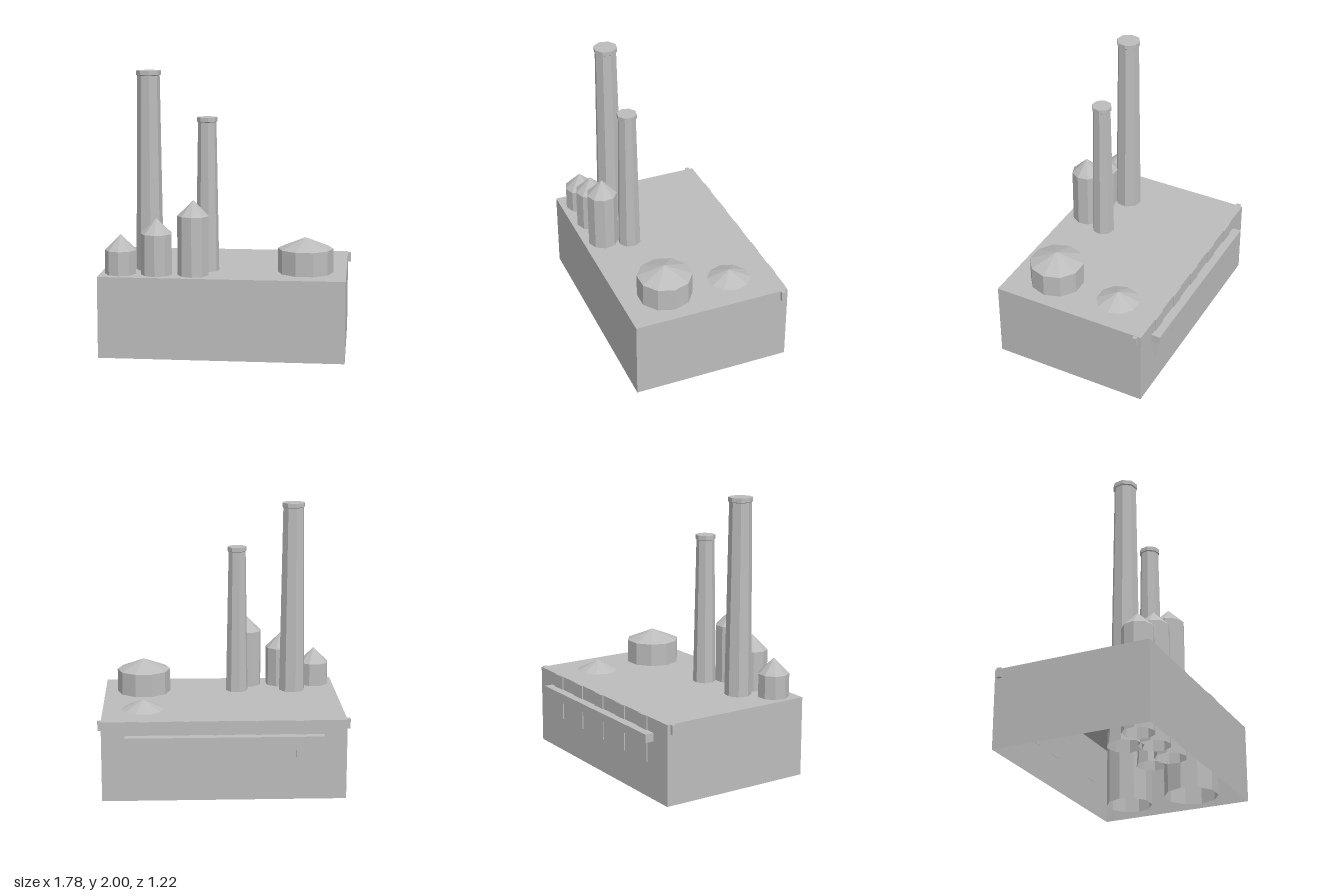
import * as THREE from 'three';

export function createModel() {
  const model = new THREE.Group();
  model.name = 'factory';
  const grey = new THREE.MeshStandardMaterial({ color: 0xbcbcbc, flatShading: true, side: THREE.DoubleSide });
  grey.name = 'concrete grey';

  const add = (name, geometry, x, y, z, turn = 0) => {
    const mesh = new THREE.Mesh(geometry, grey);
    mesh.name = name;
    mesh.position.set(x, y, z);
    mesh.rotation.y = turn;
    model.add(mesh);
    return mesh;
  };
  const box = (name, x0, x1, y0, y1, z0, z1) =>
    add(name, new THREE.BoxGeometry(x1 - x0, y1 - y0, z1 - z0), (x0 + x1) / 2, (y0 + y1) / 2, (z0 + z1) / 2);
  const lathe = (name, profile, sides, x, z, turn) =>
    add(name, new THREE.LatheGeometry(profile.map(([r, y]) => new THREE.Vector2(r, y)), sides), x, 0, z, turn);

  // Main hall: walls and roof, open underneath
  const hall = new THREE.BoxGeometry(1.73, 0.58, 1.155);
  const index = Array.from(hall.index.array);
  index.splice(18, 6); // remove the floor
  hall.setIndex(index);
  add('hall', hall, 0, 0.29, 0.0275);

  // Three narrow silos, rising in steps, running down through the hall
  [[-0.72, 0.75], [-0.465, 0.87], [-0.205, 1.0]].forEach(([x, h]) =>
    lathe('silo', [[0.112, 0], [0.112, h], [0, h + 0.11]], 9, x, 0.455, 0));

  // Two wide tanks with shallow cone roofs
  lathe('largeTank', [[0.197, 0], [0.197, 0.75], [0, 0.83]], 10, 0.575, 0.277, Math.PI / 10);
  lathe('lowTank', [[0.168, 0], [0.168, 0.575], [0, 0.652]], 10, 0.575, -0.22, Math.PI / 10);

  // Tapered chimneys with flared feet, a collar and a closed top
  const chimney = (name, x, top, rTop, rRoof, rFoot) =>
    lathe(name, [
      [rFoot, 0], [rRoof + (rFoot - rRoof) * 0.45, 0.16], [rRoof + 0.003, 0.38], [rRoof, 0.58],
      [rTop - 0.008, top - 0.035], [rTop, top - 0.03], [rTop, top], [0, top],
    ], 8, x, 0.277, 0.2);
  chimney('tallChimney', -0.54, 2.0, 0.087, 0.098, 0.128);
  chimney('shortChimney', -0.125, 1.675, 0.073, 0.084, 0.105);

  // Rail and thin panels on the back wall
  box('backRail', -0.7, 0.7, 0.42, 0.48, -0.615, -0.55);
  for (let i = -2; i <= 2; i++) {
    const x = 0.013 + i * 0.288;
    box('backPanel', x - 0.058, x + 0.058, 0.25, 0.579, -0.557, -0.549);
  }

  // Small brackets at the rear of both side walls
  for (const s of [-1, 1])
    box('sideBracket', s * 0.876 - 0.013, s * 0.876 + 0.013, 0.51, 0.579, -0.525, -0.495);

  // Beam under the roof
  box('innerBeam', -0.84, -0.2, 0.55, 0.575, 0.31, 0.35);

  return model;
}
